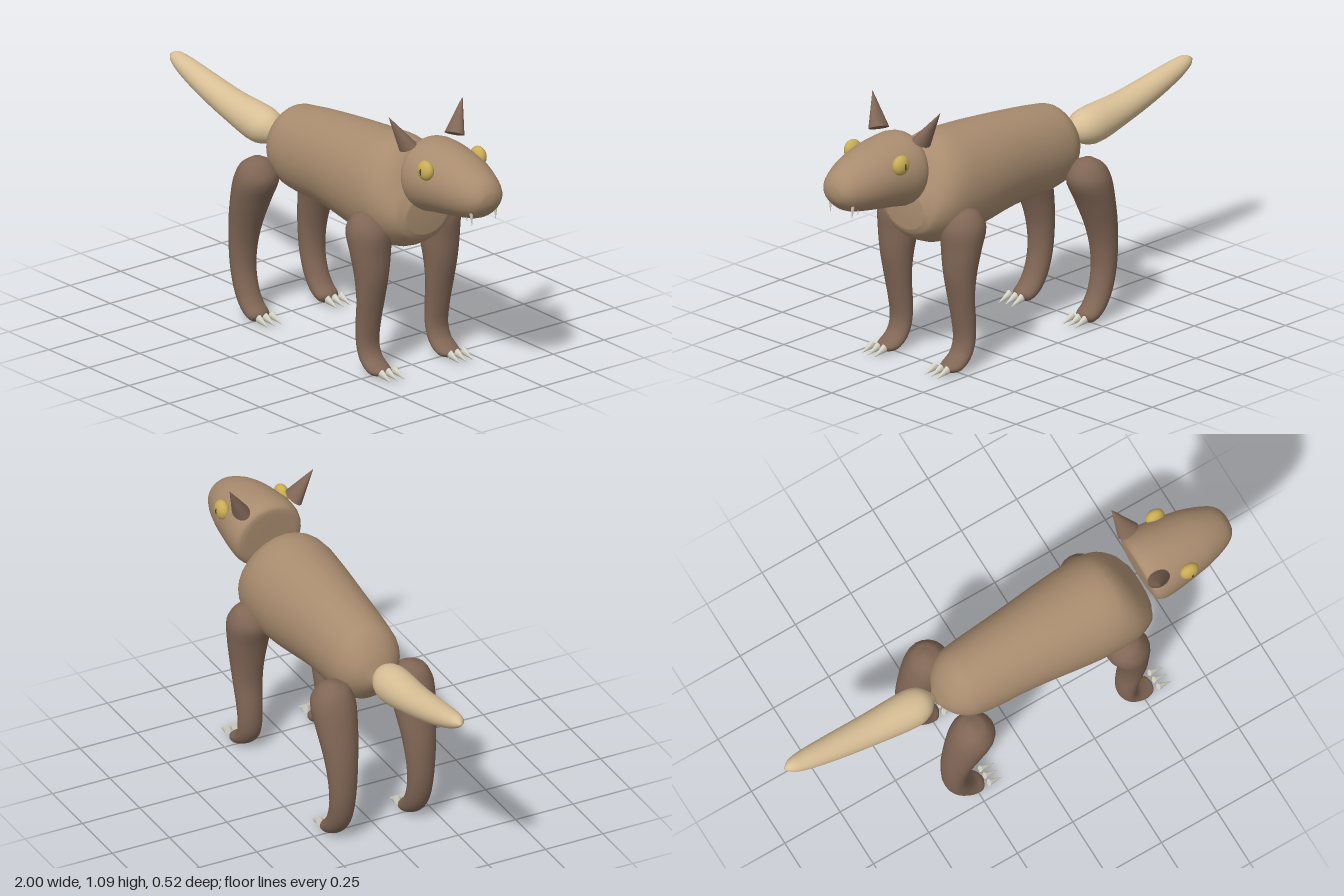
import * as THREE from 'three';

const mat = (name, color) => {
  const m = new THREE.MeshStandardMaterial({ color });
  m.name = name;
  return m;
};

// Smooth skin over elliptical rings. Each ring is [x1, y1, x2, y2, halfWidth]:
// its two extreme points in the side plane and its half width along z.
function loft(rings, sub = 4, sides = 28) {
  const upper = new THREE.CatmullRomCurve3(rings.map(r => new THREE.Vector3(r[0], r[1], 0)));
  const lower = new THREE.CatmullRomCurve3(rings.map(r => new THREE.Vector3(r[2], r[3], 0)));
  const n = (rings.length - 1) * sub;
  const pos = [], idx = [];
  for (let i = 0; i <= n; i++) {
    const a = upper.getPoint(i / n), b = lower.getPoint(i / n);
    const k = Math.min(Math.floor(i / sub), rings.length - 2), f = i / sub - k;
    const at = j => rings[Math.max(0, Math.min(rings.length - 1, j))][4];
    const p0 = at(k - 1), p1 = at(k), p2 = at(k + 1), p3 = at(k + 2);
    const w = p1 + 0.5 * f * (p2 - p0 + f * (2 * p0 - 5 * p1 + 4 * p2 - p3 + f * (3 * (p1 - p2) + p3 - p0)));
    const c = a.clone().add(b).multiplyScalar(0.5);
    const u = a.clone().sub(b).multiplyScalar(0.5);
    for (let s = 0; s < sides; s++) {
      const t = (s / sides) * Math.PI * 2;
      pos.push(c.x + u.x * Math.cos(t), c.y + u.y * Math.cos(t), w * Math.sin(t));
    }
  }
  for (let i = 0; i < n; i++) {
    for (let s = 0; s < sides; s++) {
      const p = i * sides + s, q = i * sides + (s + 1) % sides;
      idx.push(p, q, p + sides, q, q + sides, p + sides);
    }
  }
  // end caps
  for (const [ring, start] of [[rings[0], true], [rings[rings.length - 1], false]]) {
    const c = pos.length / 3, base = start ? 0 : n * sides;
    pos.push((ring[0] + ring[2]) / 2, (ring[1] + ring[3]) / 2, 0);
    for (let s = 0; s < sides; s++) {
      const p = base + s, q = base + (s + 1) % sides;
      if (start) idx.push(c, q, p); else idx.push(c, p, q);
    }
  }
  const g = new THREE.BufferGeometry();
  g.setAttribute('position', new THREE.Float32BufferAttribute(pos, 3));
  g.setIndex(idx);
  g.computeVertexNormals();
  return g;
}

export function createModel() {
  const model = new THREE.Group();
  const fur = mat('brown fur', 0xa98c6f);
  const dark = mat('dark brown fur', 0x806655);
  const tan = mat('tan fur', 0xd8bf96);
  const yellow = mat('yellow eye', 0xc9ad55);
  const ivory = mat('ivory', 0xd8d5c8);
  const black = mat('dark pupil', 0x4a4022);

  const add = (name, geo, material, x = 0, y = 0, z = 0) => {
    const m = new THREE.Mesh(geo, material);
    m.name = name;
    m.position.set(x, y, z);
    model.add(m);
    return m;
  };
  // Cone from the centre of its base to its tip
  const spike = (name, from, to, r, material, sides, flat = 1) => {
    const a = new THREE.Vector3(...from), d = new THREE.Vector3(...to).sub(a);
    const g = new THREE.ConeGeometry(r, d.length(), sides).translate(0, d.length() / 2, 0);
    g.scale(1, 1, flat);
    const m = add(name, g, material, ...from);
    m.quaternion.setFromUnitVectors(new THREE.Vector3(0, 1, 0), d.normalize());
  };

  add('body', loft([
    [-0.32, 0.71, -0.325, 0.66, 0.03], [-0.29, 0.79, -0.29, 0.61, 0.09],
    [-0.23, 0.86, -0.23, 0.55, 0.135], [-0.15, 0.88, -0.15, 0.53, 0.15],
    [0.05, 0.905, 0.05, 0.525, 0.165], [0.3, 0.925, 0.27, 0.495, 0.19],
    [0.45, 0.925, 0.38, 0.485, 0.196], [0.51, 0.88, 0.5, 0.497, 0.185],
    [0.57, 0.78, 0.58, 0.545, 0.145], [0.597, 0.73, 0.597, 0.575, 0.1],
  ]), fur);

  add('head', loft([
    [0.584, 0.94, 0.602, 0.74, 0.11], [0.587, 0.965, 0.617, 0.7, 0.135],
    [0.615, 0.983, 0.645, 0.687, 0.148], [0.7, 0.984, 0.7, 0.697, 0.147],
    [0.85, 0.957, 0.83, 0.717, 0.125], [0.93, 0.925, 0.91, 0.732, 0.1],
    [0.975, 0.895, 0.955, 0.752, 0.078], [0.996, 0.86, 0.986, 0.785, 0.05],
    [1.0, 0.835, 0.998, 0.81, 0.015],
  ]), fur);

  add('tail', loft([
    [-1.0, 0.848, -1.0, 0.835, 0.008], [-0.97, 0.864, -0.975, 0.815, 0.028],
    [-0.9, 0.858, -0.92, 0.785, 0.042], [-0.78, 0.837, -0.8, 0.738, 0.054],
    [-0.6, 0.808, -0.62, 0.684, 0.066], [-0.42, 0.795, -0.44, 0.645, 0.076],
    [-0.365, 0.776, -0.375, 0.662, 0.058], [-0.325, 0.725, -0.33, 0.695, 0.015],
  ]), tan);

  const foreleg = loft([
    [0.45, 0.666, 0.43, 0.666, 0.02], [0.49, 0.65, 0.385, 0.645, 0.062],
    [0.53, 0.59, 0.355, 0.59, 0.09], [0.53, 0.5, 0.38, 0.5, 0.084],
    [0.525, 0.4, 0.4, 0.4, 0.07], [0.505, 0.3, 0.41, 0.3, 0.06],
    [0.485, 0.2, 0.4, 0.2, 0.053], [0.475, 0.12, 0.405, 0.1, 0.05],
    [0.49, 0.075, 0.435, 0.04, 0.05], [0.525, 0.048, 0.49, 0.006, 0.05],
    [0.55, 0.035, 0.53, 0.004, 0.036], [0.554, 0.025, 0.545, 0.01, 0.012],
  ], 4, 20);
  const hindleg = loft([
    [-0.24, 0.68, -0.27, 0.68, 0.02], [-0.2, 0.665, -0.315, 0.65, 0.062],
    [-0.165, 0.6, -0.345, 0.59, 0.09], [-0.21, 0.5, -0.37, 0.48, 0.083],
    [-0.255, 0.4, -0.385, 0.38, 0.07], [-0.285, 0.3, -0.388, 0.28, 0.06],
    [-0.29, 0.2, -0.38, 0.18, 0.053], [-0.27, 0.12, -0.35, 0.085, 0.05],
    [-0.245, 0.075, -0.3, 0.025, 0.05], [-0.217, 0.05, -0.25, 0.003, 0.045],
    [-0.208, 0.03, -0.22, 0.006, 0.018],
  ], 4, 20);

  for (const s of [1, -1]) {
    const side = s > 0 ? 'right' : 'left';
    add(side + ' foreleg', foreleg, dark, 0, 0, s * 0.17);
    add(side + ' hind leg', hindleg, dark, 0, 0, s * 0.17);
    for (const x of [-0.2, 0.565]) {
      for (const dz of [-0.033, 0, 0.033]) {
        const z = s * 0.17 + dz;
        spike('claw', [x, 0.033, z], [x + 0.062, 0.011, z], 0.018, ivory, 10, 0.7);
      }
    }
    spike(side + ' ear', [0.62, 0.967, s * 0.115], [0.585, 1.096, s * 0.183], 0.047, dark, 20, 0.7);
    add(side + ' eye', new THREE.SphereGeometry(0.04, 24, 16).scale(1, 1, 0.68), yellow, 0.75, 0.91, s * 0.13);
    add(side + ' pupil', new THREE.SphereGeometry(0.014, 12, 8).scale(0.3, 1, 0.25), black, 0.75, 0.91, s * 0.1555);
    spike('fang', [0.945, 0.782, s * 0.06], [0.948, 0.72, s * 0.058], 0.009, ivory, 10);
    spike('small fang', [0.905, 0.765, s * 0.05], [0.907, 0.724, s * 0.05], 0.007, ivory, 8);
  }
  return model;
}
